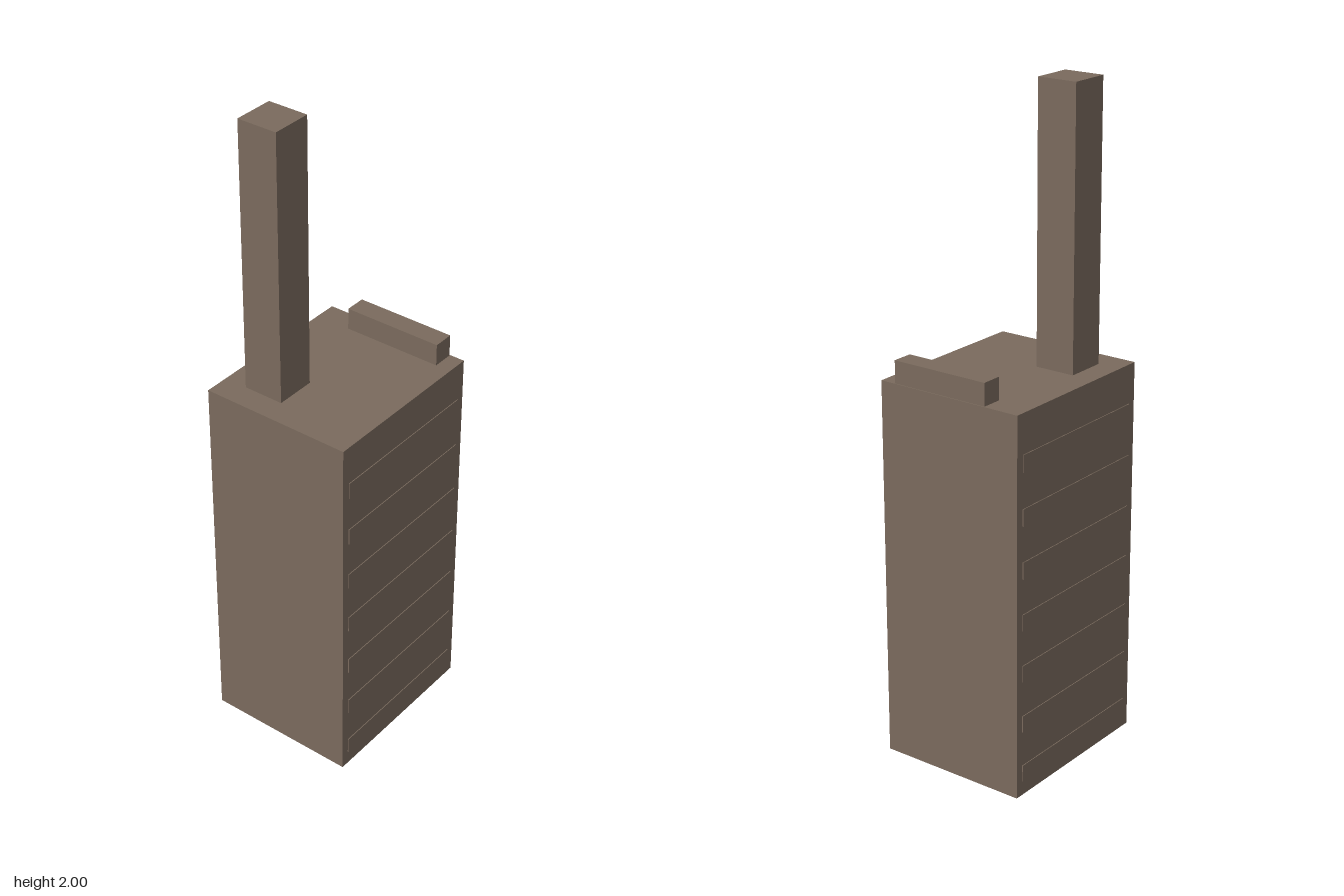
import * as THREE from 'three';

export function createModel() {
  const model = new THREE.Group();
  model.name = 'chimneyTower';
  const stone = new THREE.MeshStandardMaterial({ color: 0x7a6a5d });
  stone.name = 'stone brown';

  // Adds a box given its min and max corners
  const addBox = (name, [x0, y0, z0], [x1, y1, z1]) => {
    const mesh = new THREE.Mesh(new THREE.BoxGeometry(x1 - x0, y1 - y0, z1 - z0), stone);
    mesh.position.set((x0 + x1) / 2, (y0 + y1) / 2, (z0 + z1) / 2);
    mesh.name = name;
    model.add(mesh);
  };

  // Main block, tall chimney and low roof ledge
  addBox('body', [-0.28, 0, -0.238], [0.28, 1.17, 0.238]);
  addBox('chimney', [-0.204, 1.17, -0.165], [-0.077, 2, -0.038]);
  addBox('roofLedge', [0.212, 1.17, -0.125], [0.277, 1.238, 0.19]);

  // Seven thin raised bands on the front and back
  for (let i = 0; i < 7; i++) {
    const y = 0.045 + i * 0.159;
    addBox('frontBand', [-0.255, y, 0.236], [0.255, y + 0.051, 0.2405]);
    addBox('backBand', [-0.255, y, -0.2405], [0.255, y + 0.051, -0.236]);
  }
  return model;
}
